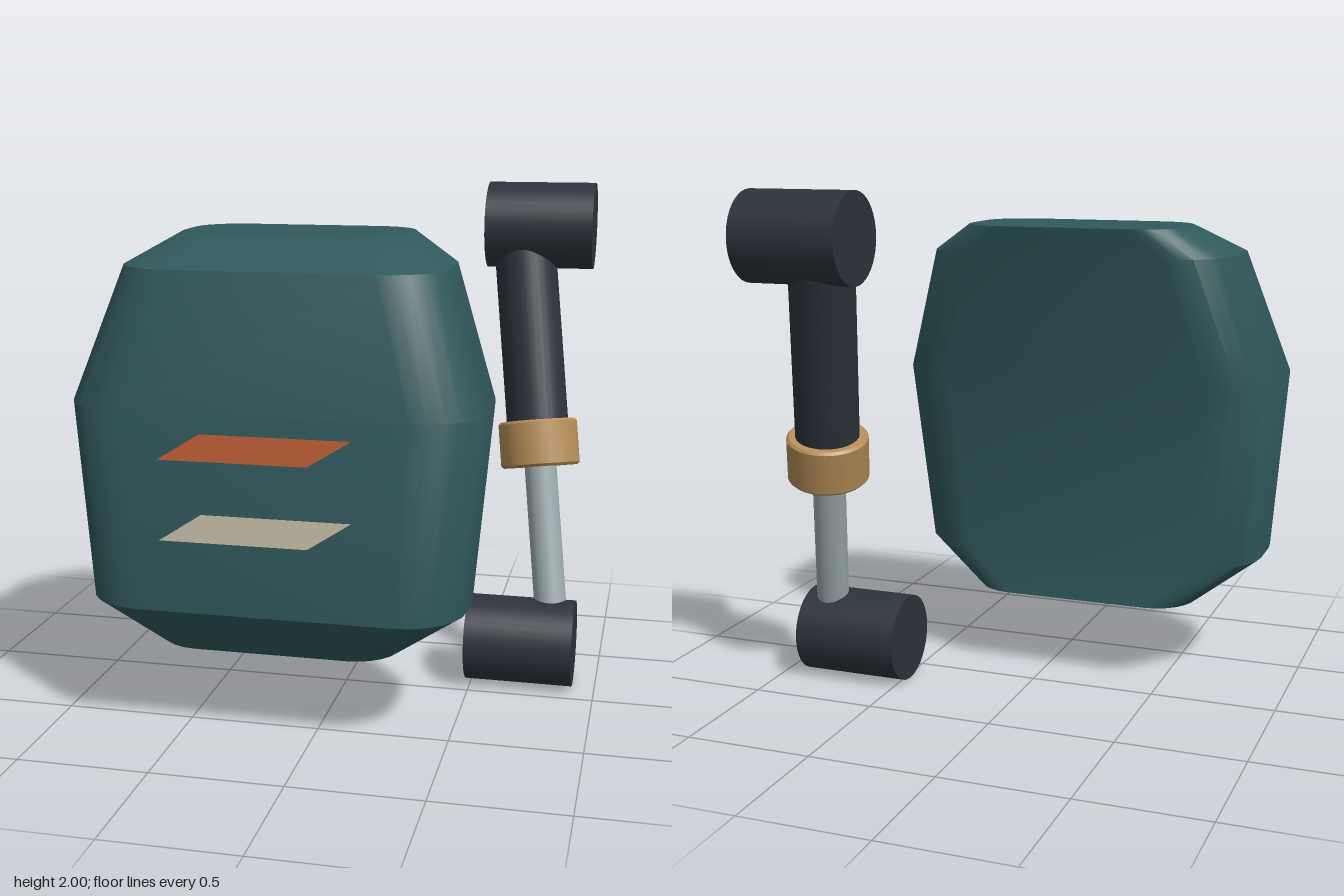
import * as THREE from 'three';
import { toCreasedNormals } from 'three/addons/utils/BufferGeometryUtils.js';

const mat = (name, color, side = THREE.FrontSide) => {
  const m = new THREE.MeshStandardMaterial({ color, side });
  m.name = name;
  return m;
};

// Rounded-rectangle outline: centre x, half width, z range, corner radius
function ring([y, half, z0, z1, r], cx, steps) {
  const pts = [];
  const corners = [[1, z1 - r], [-1, z1 - r], [-1, z0 + r], [1, z0 + r]];
  corners.forEach(([s, cz], q) => {
    for (let i = 0; i <= steps; i++) {
      const a = (q + i / steps) * Math.PI / 2;
      pts.push([cx + s * (half - r) + r * Math.cos(a), y, cz + r * Math.sin(a)]);
    }
  });
  return pts;
}

// Skin between stacked rings, with flat caps
function loft(sections, cx, steps = 6) {
  const rings = sections.map((s) => ring(s, cx, steps));
  const n = rings[0].length;
  const pos = rings.flat(2);
  const idx = [];
  for (let k = 0; k < rings.length - 1; k++) {
    for (let j = 0; j < n; j++) {
      const a = k * n + j, b = k * n + (j + 1) % n;
      idx.push(a, a + n, b, b, a + n, b + n);
    }
  }
  const top = (rings.length - 1) * n;
  for (let j = 1; j < n - 1; j++) {
    idx.push(0, j, j + 1);
    idx.push(top, top + j + 1, top + j);
  }
  const g = new THREE.BufferGeometry();
  g.setAttribute('position', new THREE.Float32BufferAttribute(pos, 3));
  g.setIndex(idx);
  return toCreasedNormals(g, 0.5);
}

export function createModel() {
  const group = new THREE.Group();
  const teal = mat('teal shell', 0x30595c);
  const dark = mat('dark metal', 0x2d333c);
  const brass = mat('brass', 0xb58d57);
  const steel = mat('steel', 0x9dabae);
  const orange = mat('orange paint', 0xc8643b, THREE.DoubleSide);
  const cream = mat('cream paint', 0xd0c6b0, THREE.DoubleSide);

  const add = (name, geometry, material, parent = group) => {
    const mesh = new THREE.Mesh(geometry, material);
    mesh.name = name;
    parent.add(mesh);
    return mesh;
  };

  // Armour shell: y, half width, back z, front z, corner radius
  add('shell', loft([
    [0.33, 0.46, 0.08, 0.62, 0.17],
    [0.51, 0.71, 0.11, 0.73, 0.23],
    [1.25, 0.77, 0.03, 0.73, 0.24],
    [1.74, 0.605, -0.07, 0.59, 0.22],
    [1.85, 0.43, -0.10, 0.38, 0.17],
  ], -0.15), teal);

  // Slanted painted stripes on the front face
  for (const [name, y, h, material] of [['upperStripe', 1.08, 0.1, orange], ['lowerStripe', 0.78, 0.105, cream]]) {
    const shape = new THREE.Shape([[-0.53, 0], [0.02, 0], [0.18, h], [-0.37, h]].map((p) => new THREE.Vector2(...p)));
    add(name, new THREE.ShapeGeometry(shape), material).position.set(0, y, 0.734);
  }

  // Joint barrels lying along x
  const barrel = new THREE.CylinderGeometry(0.174, 0.174, 0.43, 40).rotateZ(Math.PI / 2);
  add('upperJoint', barrel, dark).position.set(0.695, 1.826, -0.565);
  add('lowerJoint', barrel, dark).position.set(0.695, 0.174, -0.163);

  // Piston leaning between the joints, built along its own y axis
  const low = new THREE.Vector3(0.825, 0.18, -0.163);
  const high = new THREE.Vector3(0.62, 1.826, -0.565);
  const axis = high.clone().sub(low);
  const length = axis.length();
  const piston = new THREE.Group();
  piston.name = 'piston';
  piston.position.copy(low);
  piston.quaternion.setFromUnitVectors(new THREE.Vector3(0, 1, 0), axis.normalize());
  group.add(piston);

  const rod = (name, r, y0, y1, material) => {
    add(name, new THREE.CylinderGeometry(r, r, y1 - y0, 32), material, piston).position.y = (y0 + y1) / 2;
  };
  rod('rod', 0.065, 0, 0.85, steel);
  rod('sleeve', 0.125, 0.75, length, dark);

  // Collar with slightly bevelled rims
  const profile = [[0, -0.094], [0.15, -0.094], [0.16, -0.084], [0.16, 0.084], [0.15, 0.094], [0, 0.094]];
  const collar = new THREE.LatheGeometry(profile.map((p) => new THREE.Vector2(...p)), 32);
  add('collar', toCreasedNormals(collar, 0.6), brass, piston).position.y = 0.805;

  return group;
}
